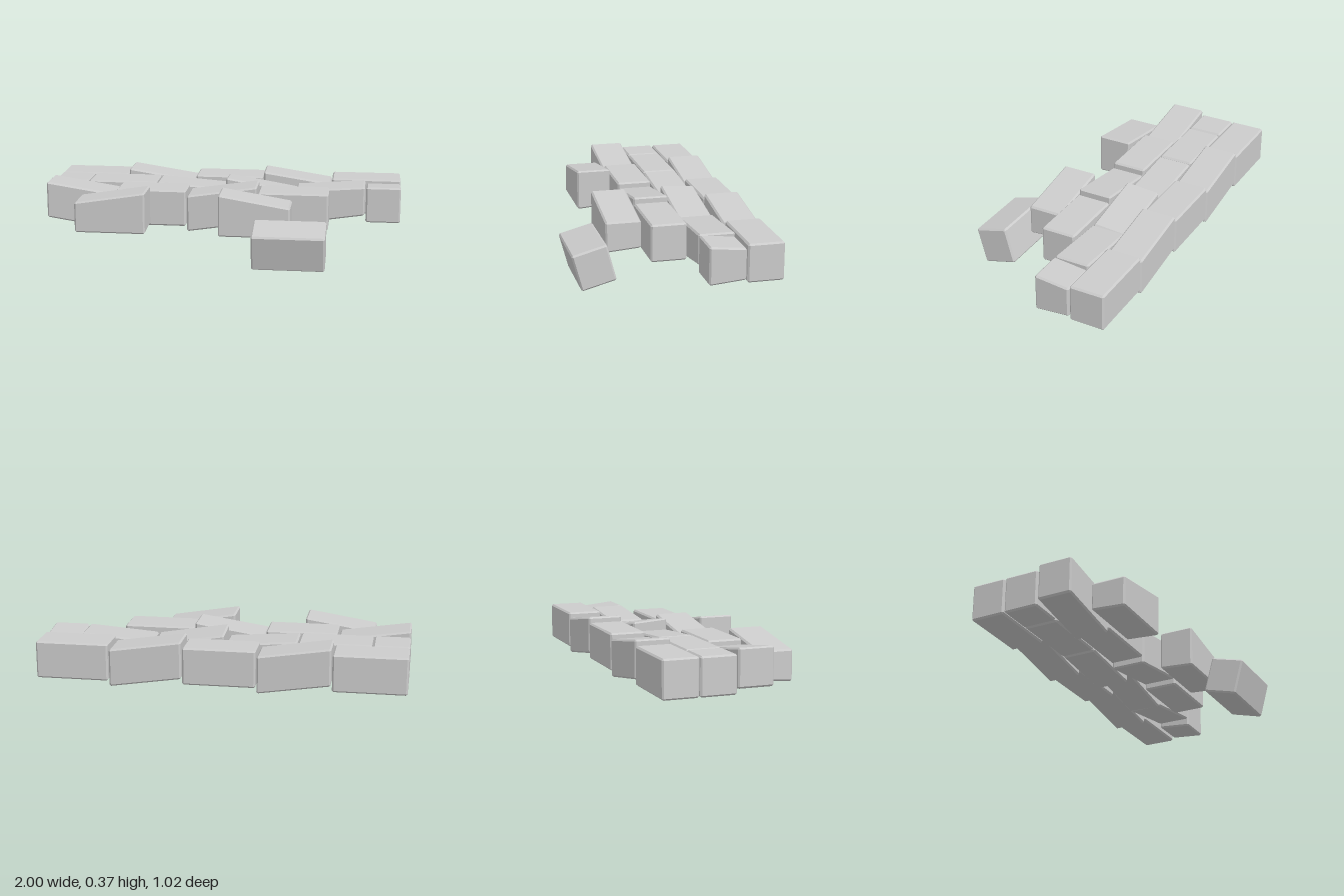
import * as THREE from 'three';
import { ConvexGeometry } from 'three/addons/geometries/ConvexGeometry.js';

const PITCH = 0.2, GAP = 0.006, HEIGHT = 0.206, DEPTH = 0.195, CHAMFER = 0.009;
const material = new THREE.MeshStandardMaterial({ color: 0xcccccc, flatShading: true });

// Chamfered brick; top and bottom ends shift by the given heights, and the
// back edge can be pinched by backTop / backBottom.
function brickGeometry(width, [topL, topR, botL, botR] = [0, 0, 0, 0], backTop = 0, backBottom = 0) {
  const half = [width / 2, HEIGHT / 2, DEPTH / 2];
  const points = [];
  for (const sx of [-1, 1]) for (const sy of [-1, 1]) for (const sz of [-1, 1]) {
    // three points per corner, each touching one face
    for (let face = 0; face < 3; face++) {
      const [x, y, z] = [sx, sy, sz].map((s, i) => s * (half[i] - (i === face ? 0 : CHAMFER)));
      const u = x / width + 0.5, back = 0.5 - z / DEPTH;
      const shift = sy > 0
        ? topL + (topR - topL) * u + backTop * back
        : botL + (botR - botL) * u + backBottom * back;
      points.push(new THREE.Vector3(x, y + shift, z));
    }
  }
  return new ConvexGeometry(points);
}

const tilt = (left, right) => [left, right, left, right];
const flat = tilt(0, 0);
const leftUp = tilt(0.03, -0.03);
const rightUp = tilt(-0.03, 0.03);

// Courses from back to front; each brick is [x start, x end, end shifts, backTop, backBottom]
const courses = [
  { name: 'backCourse', z: -0.4125, bricks: [
    [-1, -0.6, flat], [-0.6, -0.2, leftUp], [-0.2, 0.2, flat], [0.2, 0.6, leftUp], [0.6, 1, flat]] },
  { name: 'secondCourse', z: -0.2125, bricks: [
    [-1, -0.8, flat], [-0.8, -0.4, flat], [-0.4, 0, [0, -0.03, 0, -0.033]],
    [0, 0.4, tilt(0.034, -0.032), -0.015, 0.006],
    [0.4, 0.8, [-0.03, 0, -0.02, 0.04]], [0.8, 1, flat, -0.02, 0.017]] },
  { name: 'thirdCourse', z: -0.0125, bricks: [
    [-1, -0.6, leftUp], [-0.6, -0.2, flat], [-0.2, 0.2, rightUp], [0.2, 0.6, flat]] },
  { name: 'frontCourse', z: 0.1875, bricks: [
    [-0.8, -0.4, [-0.035, 0.028, 0, 0], 0, 0.015],
    [0, 0.4, [0.03, -0.035, 0, 0], 0, 0.015]] },
];

export function createModel() {
  const model = new THREE.Group();
  model.name = 'brokenBrickSlab';

  for (const { name, z, bricks } of courses) {
    const course = new THREE.Group();
    course.name = name;
    for (const [x0, x1, shifts, backTop, backBottom] of bricks) {
      // outer ends stay flush with the slab's sides
      const a = x0 === -1 ? -1 : x0 + GAP / 2, b = x1 === 1 ? 1 : x1 - GAP / 2;
      const brick = new THREE.Mesh(brickGeometry(b - a, shifts, backTop, backBottom), material);
      brick.name = 'brick';
      brick.position.set((a + b) / 2, 0.232, z);
      course.add(brick);
    }
    model.add(course);
  }

  // Brick that has broken away and tipped
  const loose = new THREE.Mesh(brickGeometry(2 * PITCH - GAP), material);
  loose.name = 'looseBrick';
  loose.position.set(0.4, 0.1225, 0.3875);
  loose.rotation.x = THREE.MathUtils.degToRad(15);
  model.add(loose);

  return model;
}
